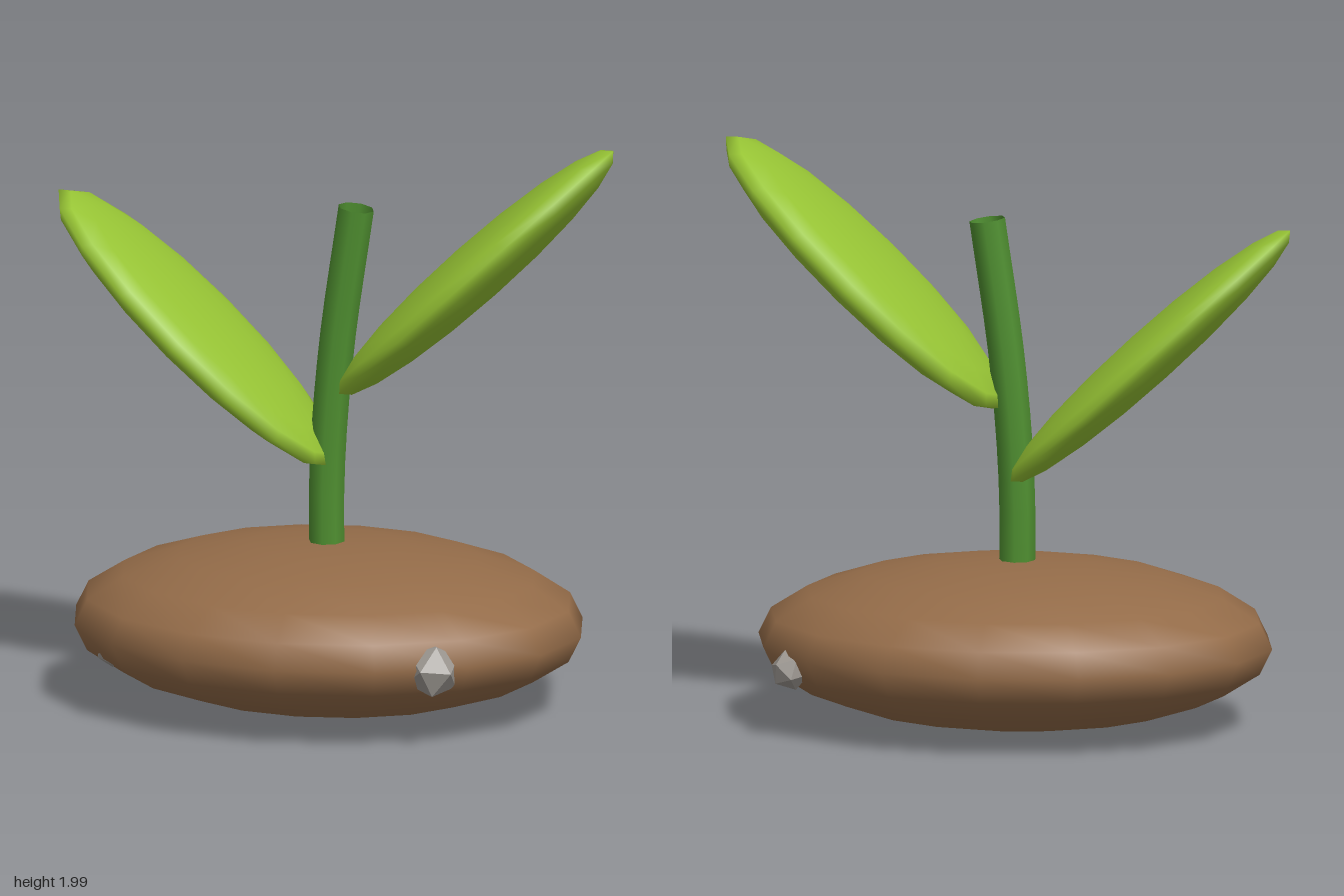
import * as THREE from 'three';

const paint = (color, extra = {}) => new THREE.MeshStandardMaterial({ color, ...extra });

export function createModel() {
  const group = new THREE.Group();
  const add = (name, geometry, material, position = [0, 0, 0]) => {
    const mesh = new THREE.Mesh(geometry, material);
    mesh.name = name;
    mesh.position.set(...position);
    group.add(mesh);
    return mesh;
  };

  // Smooth low-poly ellipsoid shared by the soil and the leaves
  const ellipsoid = (rx, ry, rz) => new THREE.SphereGeometry(1, 16, 10).scale(rx, ry, rz);

  // Soil mound
  add('soilMound', ellipsoid(0.885, 0.285, 0.717), paint(0x936b48), [-0.03, 0.287, 0]);

  // Bent, open-ended stem
  const path = new THREE.CatmullRomCurve3([
    [-0.035, 0.4], [-0.035, 0.82], [-0.002, 1.25], [0.067, 1.738],
  ].map(([x, y]) => new THREE.Vector3(x, y, 0)));
  add('stem', new THREE.TubeGeometry(path, 12, 0.062, 8, false),
    paint(0x4f8f30, { side: THREE.DoubleSide }));

  // Two flattened leaves rising from the stem
  const leafPaint = paint(0x96c334);
  const leaves = [
    ['leftLeaf', [0.488, 1.54, 0], [0.66, 0.1, 0.372], 43.4],
    ['rightLeaf', [-0.492, 1.283, 0], [0.663, 0.09, 0.327], -43],
  ];
  for (const [name, position, size, tilt] of leaves) {
    add(name, ellipsoid(...size), leafPaint, position).rotation.z = THREE.MathUtils.degToRad(tilt);
  }

  // Faceted stones half buried in the soil
  const stonePaint = paint(0x9b9690, { flatShading: true });
  const stones = [
    [0.47, 0.275, 0.515, 0.1],
    [0.675, 0.235, -0.385, 0.07],
    [-0.695, 0.222, 0.33, 0.06],
  ];
  stones.forEach(([x, y, z, r], i) => {
    add(`stone${i + 1}`, new THREE.IcosahedronGeometry(r, 0), stonePaint, [x, y, z])
      .rotation.set(0.4 + i, 0.7 * i, 0.3);
  });

  return group;
}
